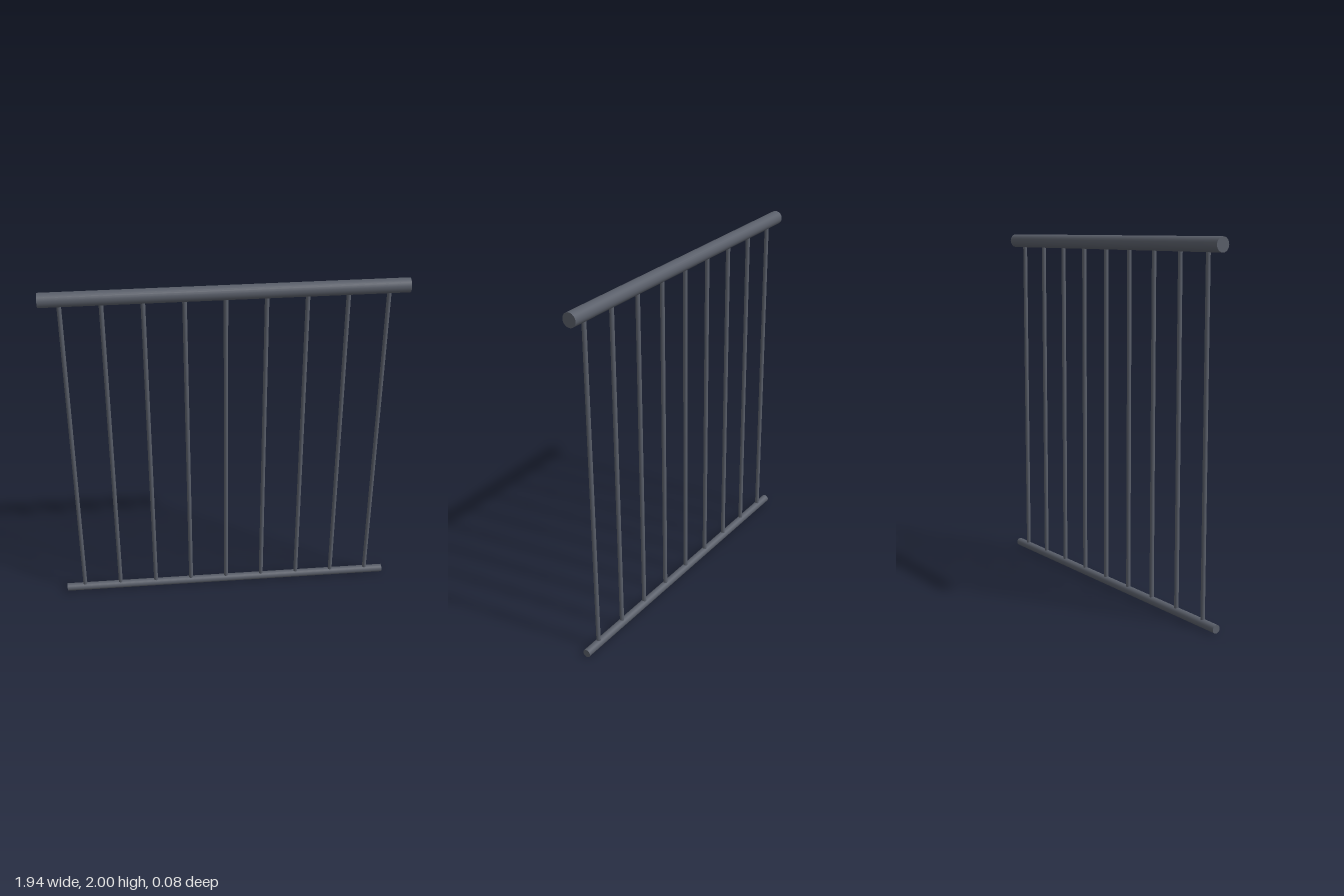
import * as THREE from 'three';

const LENGTH = 1.936;
const COUNT = 9;

export function createModel() {
  const model = new THREE.Group();
  model.name = 'railing';

  const paintedSteel = new THREE.MeshStandardMaterial({ color: 0x595e69 });
  paintedSteel.name = 'paintedSteel';

  // Horizontal round rails
  const addRail = (name, radius, y) => {
    const rail = new THREE.Mesh(new THREE.CylinderGeometry(radius, radius, LENGTH, 24), paintedSteel);
    rail.name = name;
    rail.rotation.z = Math.PI / 2;
    rail.position.y = y;
    model.add(rail);
  };
  addRail('handrail', 0.039, 1.961);
  addRail('bottomRail', 0.023, 0.023);

  // Evenly spaced balusters, ending inside the rails
  const bottom = 0.023, top = 1.961;
  const barGeometry = new THREE.CylinderGeometry(0.012, 0.012, top - bottom, 12);
  const balusters = new THREE.Group();
  balusters.name = 'balusters';
  for (let i = 0; i < COUNT; i++) {
    const bar = new THREE.Mesh(barGeometry, paintedSteel);
    bar.name = `baluster${i + 1}`;
    bar.position.set((i - (COUNT - 1) / 2) * (LENGTH / COUNT), (top + bottom) / 2, 0);
    balusters.add(bar);
  }
  model.add(balusters);

  return model;
}
